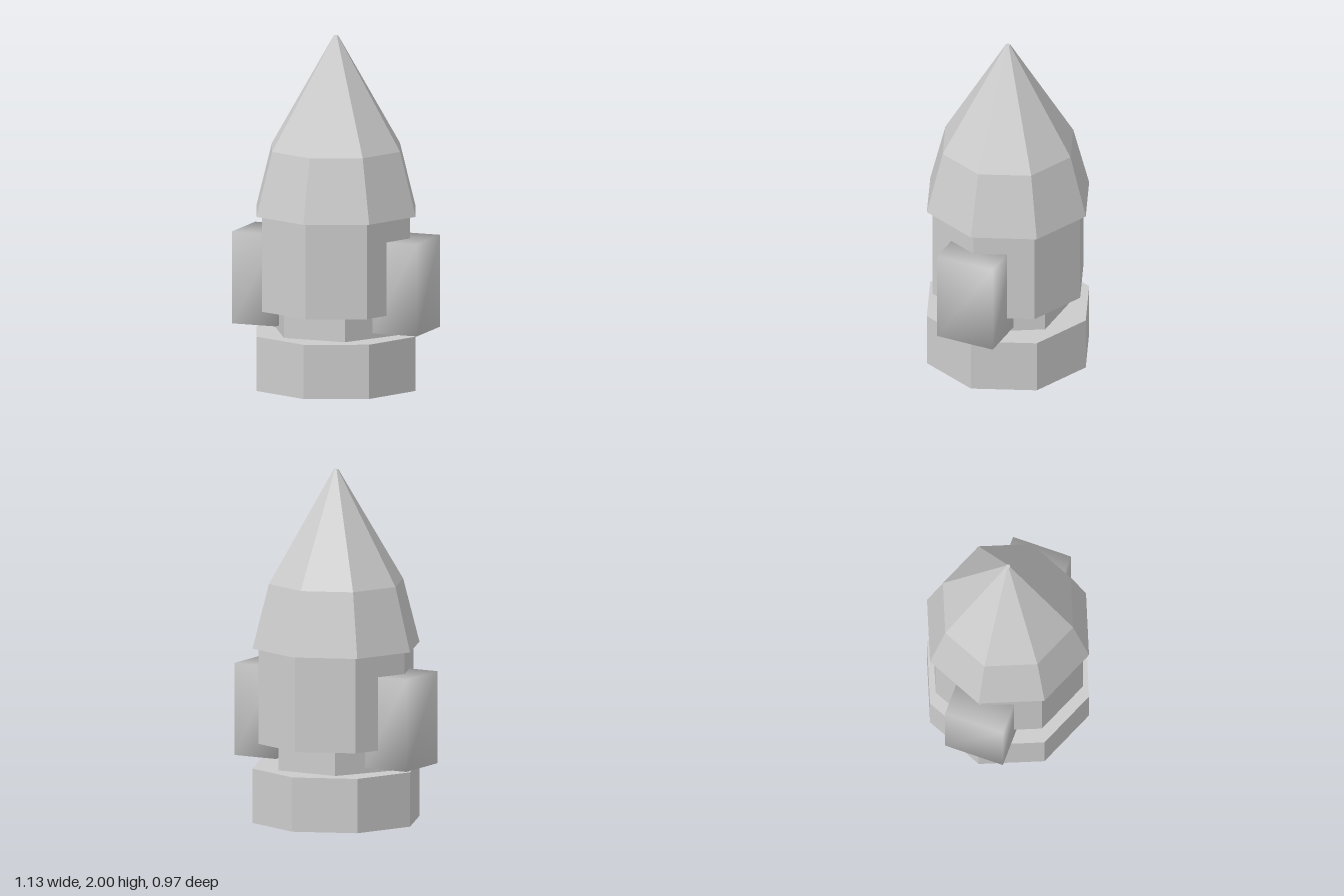
import * as THREE from 'three';
import { mergeVertices } from 'three/addons/utils/BufferGeometryUtils.js';

const flat = new THREE.MeshStandardMaterial({ color: 0xcccccc, flatShading: true });
const smooth = new THREE.MeshStandardMaterial({ color: 0xcccccc });

function part(name, geometry, material = flat) {
  const mesh = new THREE.Mesh(geometry, material);
  mesh.name = name;
  return mesh;
}

// Upright faceted prism between two heights
function prism(name, radius, y0, y1, sides, start = 0) {
  const geometry = new THREE.CylinderGeometry(radius, radius, y1 - y0, sides, 1, false, start);
  geometry.translate(0, (y0 + y1) / 2, 0);
  return part(name, geometry);
}

// Box whose corners share averaged normals, so it shades softly
function softBox(width, height, depth) {
  const box = new THREE.BoxGeometry(width, height, depth);
  box.deleteAttribute('normal');
  box.deleteAttribute('uv');
  const geometry = mergeVertices(box);
  geometry.computeVertexNormals();
  return geometry;
}

export function createModel() {
  const model = new THREE.Group();
  model.name = 'rocket';

  // Stacked base, hexagonal neck and octagonal body
  model.add(prism('base', 0.485, 0, 0.31, 8));
  model.add(prism('neck', 0.37, 0.31, 0.45, 6, Math.PI / 2));
  model.add(prism('body', 0.45, 0.45, 0.995, 8));

  // Two-tier nose cone with a tiny blunt tip
  const profile = [[0, 0.995], [0.485, 0.995], [0.39, 1.36], [0.013, 2], [0, 2]]
    .map(([r, y]) => new THREE.Vector2(r, y));
  model.add(part('noseCone', new THREE.LatheGeometry(profile, 8)));

  // Side pods, half sunk into the body
  const podGeometry = softBox(0.27, 0.525, 0.346);
  for (const [name, side] of [['leftPod', 1], ['rightPod', -1]]) {
    const pod = part(name, podGeometry, smooth);
    pod.position.set(side * 0.428, 0.607, 0);
    model.add(pod);
  }

  return model;
}
